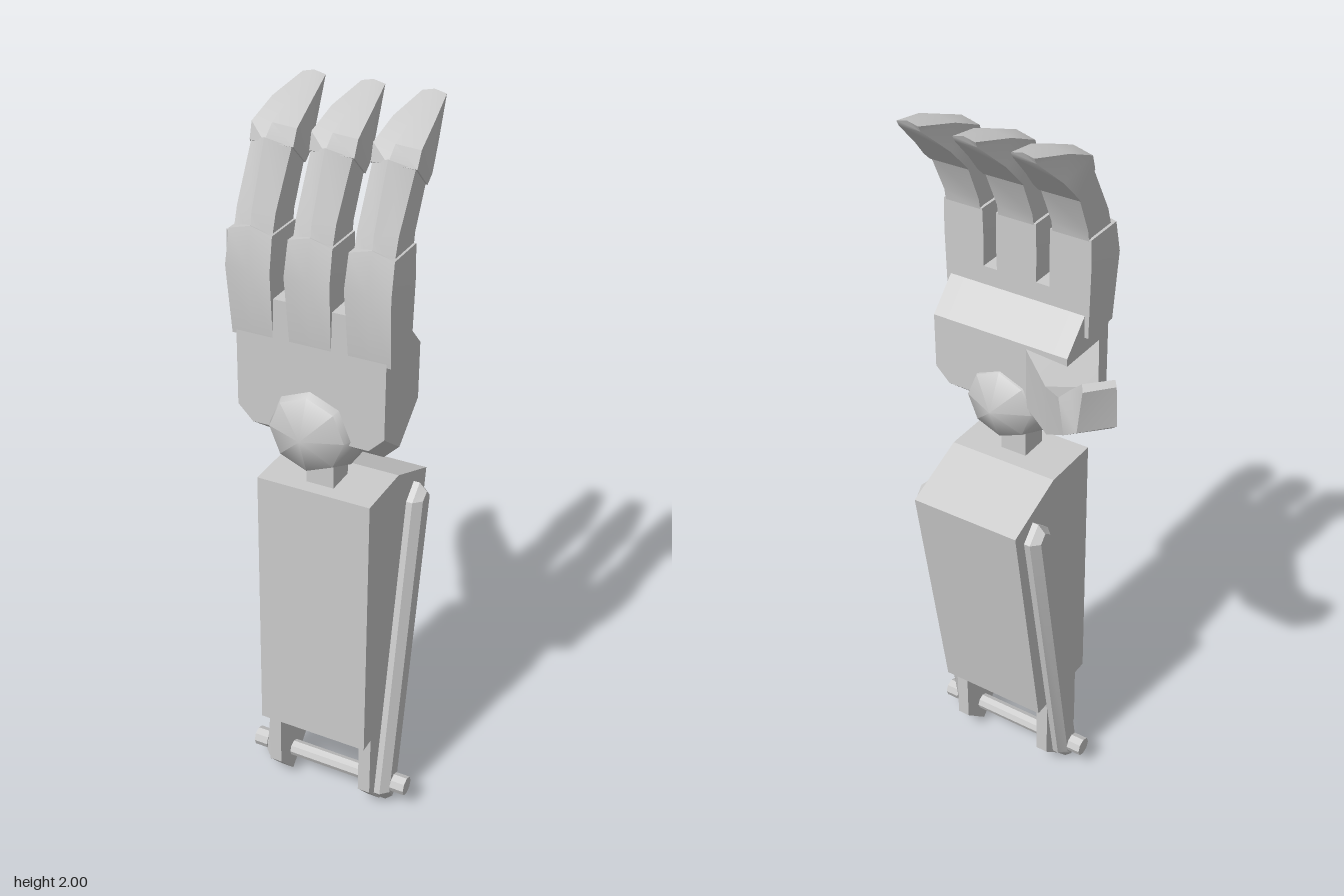
import * as THREE from 'three';
import { toCreasedNormals } from 'three/addons/utils/BufferGeometryUtils.js';

const CX = 0.0975; // mid-plane of the arm
const material = new THREE.MeshStandardMaterial({ color: 0xcccccc });

function addMesh(parent, name, geometry, crease = 0.65) {
  const mesh = new THREE.Mesh(toCreasedNormals(geometry, crease), material);
  mesh.name = name;
  parent.add(mesh);
  return mesh;
}

// Closed solid through equal-length rings of [x, y, z] points
function loft(rings) {
  const n = rings[0].length, last = rings.length - 1, tris = [];
  for (let r = 0; r < last; r++) {
    for (let i = 0; i < n; i++) {
      const j = (i + 1) % n, a = rings[r], b = rings[r + 1];
      tris.push([a[i], a[j], b[j]], [a[i], b[j], b[i]]);
    }
  }
  for (let i = 1; i < n - 1; i++) {
    tris.push([rings[0][0], rings[0][i + 1], rings[0][i]]);
    tris.push([rings[last][0], rings[last][i], rings[last][i + 1]]);
  }
  // Turn the faces outward whichever way the rings run
  const v = (p) => new THREE.Vector3(...p);
  const volume = tris.reduce((s, [a, b, c]) => s + v(a).dot(v(b).cross(v(c))), 0);
  if (volume < 0) tris.forEach((t) => t.reverse());
  const geometry = new THREE.BufferGeometry();
  geometry.setAttribute('position', new THREE.Float32BufferAttribute(tris.flat(2), 3));
  return geometry;
}

// Place a side profile of [z, y] points at a given x
const at = (x, profile) => profile.map(([z, y]) => [x, y, z]);

function addForearm(group) {
  const body = [[0.17, 0.275], [0.17, 1.05], [0, 1.05], [-0.18, 0.975], [-0.07, 0.275]];
  addMesh(group, 'forearm', loft([at(CX - 0.155, body), at(CX + 0.155, body)]), 0.3);

  // Elbow prongs and slanted side bars, one pair per side
  const prong = [[0.127, 0.3], [0.127, 0.085], [0.055, 0.005], [-0.025, 0.08], [-0.025, 0.3]];
  const bar = (w, tip) => [
    [-0.097 + w, 0.94], [-0.099, 0.935 + tip], [-0.097 - w, 0.935],
    [0.053 - w, 0.055], [0.052, 0.05 - tip], [0.053 + w, 0.06],
  ];
  for (const s of [-1, 1]) {
    const side = s < 0 ? 'right' : 'left';
    addMesh(group, side + 'ElbowProng',
      loft([at(CX + s * 0.12, prong), at(CX + s * 0.155, prong)]), 0.3);
    addMesh(group, side + 'SideBar', loft([
      at(CX + s * 0.15, bar(0.043, 0.043)),
      at(CX + s * 0.172, bar(0.043, 0.043)),
      at(CX + s * 0.193, bar(0.022, 0.022)),
    ]), 0.4);
  }

  // Elbow pin with slightly thicker ends
  const pin = new THREE.CylinderGeometry(0.023, 0.023, 0.46, 8).rotateZ(Math.PI / 2);
  addMesh(group, 'elbowPin', pin).position.set(CX, 0.08, 0.05);
  for (const s of [-1, 1]) {
    const head = new THREE.CylinderGeometry(0.027, 0.027, 0.04, 8).rotateZ(Math.PI / 2);
    addMesh(group, 'pinHead', head).position.set(CX + s * 0.214, 0.08, 0.05);
  }
}

function addWrist(group) {
  const post = new THREE.BoxGeometry(0.075, 0.14, 0.08);
  addMesh(group, 'wristPost', post).position.set(CX, 1.1, 0.09);

  // Eight-sided ball with its poles at the front and back
  const profile = [[0, -0.15], [0.095, -0.105], [0.127, -0.02], [0.127, 0.05], [0.1, 0.112], [0, 0.15]];
  const ball = new THREE.LatheGeometry(profile.map((p) => new THREE.Vector2(...p)), 8)
    .rotateX(Math.PI / 2);
  addMesh(group, 'wristBall', ball, 0.9).position.set(CX, 1.232, 0.092);
}

function addPalm(group) {
  const profile = (lift) => [
    [0.07, 1.51], [-0.008, 1.43], [-0.008, 1.24 + lift], [0.095, 1.155 + lift],
    [0.185, 1.22 + lift], [0.185, 1.56], [0.07, 1.56],
  ];
  addMesh(group, 'palm', loft([
    at(CX - 0.195, profile(0.04)), at(CX - 0.155, profile(0)),
    at(CX + 0.155, profile(0)), at(CX + 0.195, profile(0.04)),
  ]), 0.5);
}

// Five-sided finger section: flat inner side, ridge along the back of the hand
const fingerRing = (w, inner, side, ridge) => [
  [-w, inner[1], inner[0]], [w, inner[1], inner[0]],
  [w, side[1], side[0]], [0, ridge[1], ridge[0]], [-w, side[1], side[0]],
];

function addFinger(group, name, x) {
  const finger = new THREE.Group();
  finger.name = name;
  finger.position.x = x;
  group.add(finger);
  addMesh(finger, 'lowerPhalanx', loft([
    fingerRing(0.054, [0.07, 1.45], [0.184, 1.45], [0.184, 1.45]),
    fingerRing(0.058, [0.07, 1.63], [0.203, 1.63], [0.203, 1.63]),
    fingerRing(0.056, [0.07, 1.715], [0.185, 1.715], [0.185, 1.73]),
  ]), 0.5);
  addMesh(finger, 'middlePhalanx', loft([
    fingerRing(0.05, [0.072, 1.7], [0.175, 1.7], [0.184, 1.7]),
    fingerRing(0.05, [0.065, 1.74], [0.155, 1.76], [0.178, 1.76]),
    fingerRing(0.052, [0.02, 1.84], [0.08, 1.89], [0.112, 1.915]),
  ]), 0.5);
  addMesh(finger, 'fingertip', loft([
    fingerRing(0.056, [0.02, 1.835], [0.08, 1.89], [0.114, 1.905]),
    fingerRing(0.058, [0.0, 1.855], [0.065, 1.93], [0.075, 1.938]),
    fingerRing(0.05, [-0.045, 1.905], [-0.02, 1.965], [-0.02, 1.972]),
    fingerRing(0.03, [-0.125, 1.978], [-0.133, 1.993], [-0.133, 2]),
  ]), 0.5);
}

function addThumb(group) {
  // Rings run: upper outer, upper inner, lower inner, lower outer
  const root = [[-0.08, 1.41, 0.17], [0.03, 1.42, 0], [0.03, 1.25, 0], [-0.08, 1.24, 0.17]];
  const knuckle = [[-0.193, 1.39, -0.02], [-0.1, 1.41, -0.11], [-0.1, 1.27, -0.105], [-0.187, 1.275, -0.02]];
  const joint = [[-0.255, 1.425, -0.085], [-0.178, 1.445, -0.178], [-0.2, 1.355, -0.19], [-0.28, 1.355, -0.105]];
  const pad = [[-0.27, 1.475, -0.115], [-0.208, 1.475, -0.178], [-0.265, 1.415, -0.24], [-0.332, 1.42, -0.175]];
  const tip = [[-0.318, 1.535, -0.165], [-0.265, 1.535, -0.22], [-0.28, 1.53, -0.243], [-0.332, 1.53, -0.183]];
  const thumb = new THREE.Group();
  thumb.name = 'thumb';
  group.add(thumb);
  addMesh(thumb, 'thumbBase', loft([root, knuckle]), 0.5);
  addMesh(thumb, 'thumbMiddle', loft([knuckle, joint]), 0.5);
  addMesh(thumb, 'thumbTip', loft([joint, pad, tip]), 0.5);
}

export function createModel() {
  const group = new THREE.Group();
  group.name = 'mechanicalArm';
  addForearm(group);
  addWrist(group);
  addPalm(group);
  ['rightFinger', 'middleFinger', 'leftFinger'].forEach((name, i) =>
    addFinger(group, name, CX + (i - 1) * 0.152));
  addThumb(group);
  return group;
}
